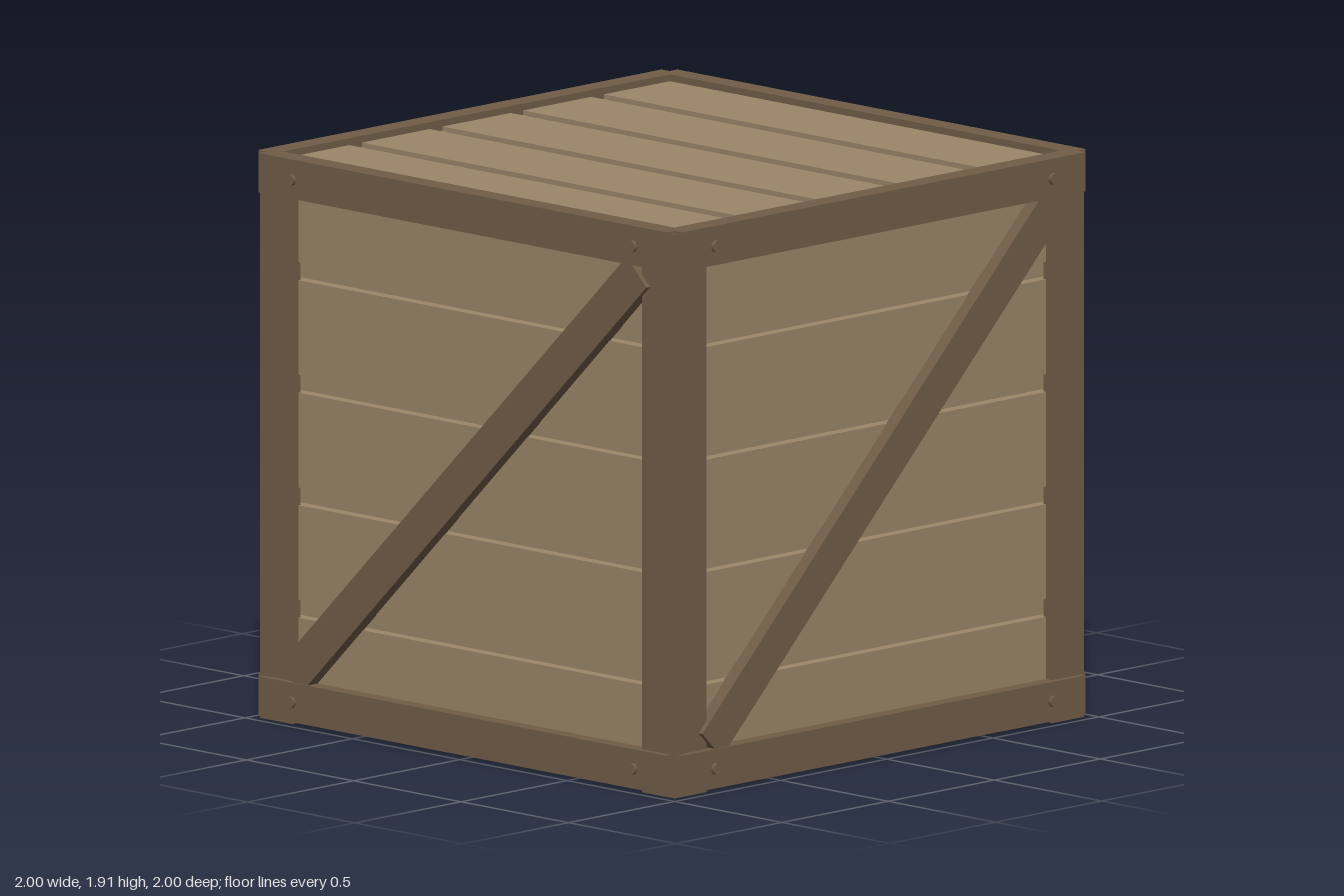
import * as THREE from 'three';

const plankWood = new THREE.MeshStandardMaterial({ color: 0x9c8769 });
plankWood.name = 'light plank wood';
const frameWood = new THREE.MeshStandardMaterial({ color: 0x715d47 });
frameWood.name = 'dark frame wood';

const MID = 0.955; // height of the crate centre

// Box given by its lower and upper corners
function slab(name, material, min, max) {
  const size = max.map((v, i) => v - min[i]);
  const mesh = new THREE.Mesh(new THREE.BoxGeometry(...size), material);
  mesh.position.set(...max.map((v, i) => (v + min[i]) / 2));
  mesh.name = name;
  return mesh;
}

// One wall facing +z: planks, post boards, rails, brace and bolts
function createSide() {
  const side = new THREE.Group();

  for (let i = -2; i <= 2; i++) {
    const y = MID + i * 0.38;
    side.add(slab('wallPlank', plankWood, [-0.92, y - 0.16, 0.89], [0.92, y + 0.16, 0.935]));
  }

  // each corner post is an L made from the boards of two adjoining walls
  for (const s of [-1, 1]) {
    const xs = [s * 0.815, s * 0.965].sort((a, b) => a - b);
    side.add(slab('cornerPostBoard', frameWood, [xs[0], 0, 0.925], [xs[1], 1.905, 0.965]));
  }

  for (const y of [0.0125, 1.78]) {
    side.add(slab('rail', frameWood, [-0.95, y, 0.91], [0.95, y + 0.133, 0.987]));
  }

  const brace = new THREE.Mesh(new THREE.BoxGeometry(2.27, 0.13, 0.05), frameWood);
  brace.name = 'diagonalBrace';
  brace.position.set(0, 0.958, 0.957);
  brace.rotation.z = 0.782;
  side.add(brace);

  for (const x of [-0.795, 0.795]) {
    for (const y of [0.08, 1.845]) {
      const bolt = new THREE.Mesh(new THREE.CylinderGeometry(0.02, 0.02, 0.03, 10), frameWood);
      bolt.name = 'bolt';
      bolt.rotation.x = Math.PI / 2;
      bolt.position.set(x, y, 0.985);
      side.add(bolt);
    }
  }
  return side;
}

export function createModel() {
  const crate = new THREE.Group();
  crate.name = 'crate';

  // Recessed inner box seen through the gaps and as the floor
  crate.add(slab('innerBox', plankWood, [-0.895, 0.06, -0.895], [0.895, 1.85, 0.895]));

  // Lid planks
  for (let i = -2; i <= 2; i++) {
    const z = i * 0.38;
    crate.add(slab('lidPlank', plankWood, [-0.92, 1.845, z - 0.16], [0.92, 1.89, z + 0.16]));
  }

  // Four identical walls
  ['front', 'left', 'back', 'right'].forEach((name, i) => {
    const side = createSide();
    side.name = name + 'Wall';
    side.rotation.y = i * Math.PI / 2;
    crate.add(side);
  });
  return crate;
}
